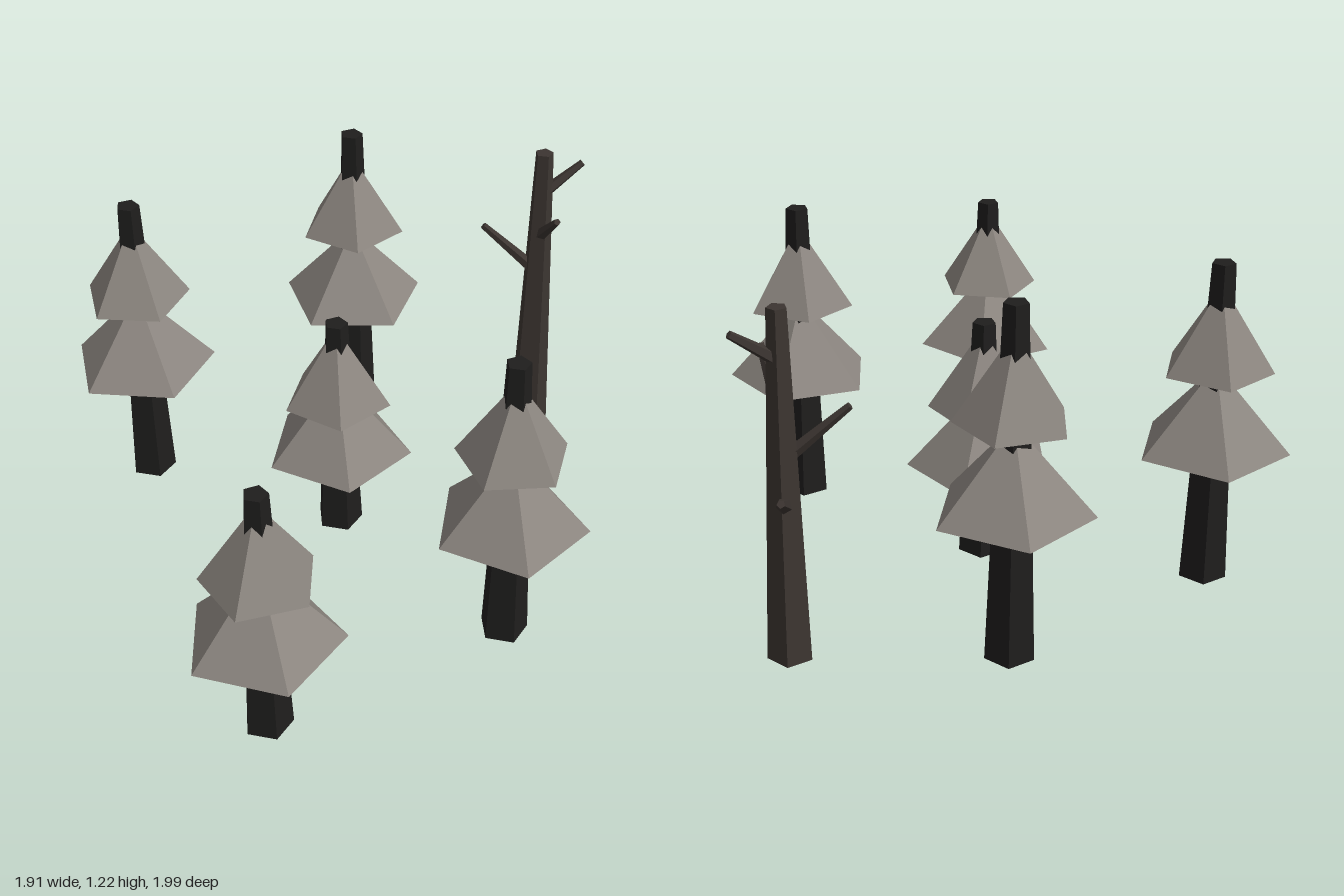
import * as THREE from 'three';

const SIDES = 5;
const material = (color) => new THREE.MeshStandardMaterial({ color, flatShading: true });
const foliageMat = material(0x8c8680);
const trunkMat = material(0x1f1e1d);
const deadMat = material(0x3c3531);

// Upright tapered piece standing on height y; turn in degrees
function taper(name, rTop, rBottom, height, y, turn, mat) {
  const mesh = new THREE.Mesh(new THREE.CylinderGeometry(rTop, rBottom, height, SIDES), mat);
  mesh.name = name;
  mesh.position.y = y + height / 2;
  mesh.rotation.y = THREE.MathUtils.degToRad(turn);
  return mesh;
}

// Fir: a trunk running through two stacked foliage cones
function fir({ x, z, height, low, high, lowTurn, highTurn }) {
  const tree = new THREE.Group();
  tree.name = 'firTree';
  tree.position.set(x, 0, z);
  tree.add(
    taper('trunk', 0.041, 0.084, height, 0, 0, trunkMat),
    taper('lowerFoliage', 0, 0.265, 0.3, low, lowTurn, foliageMat),
    taper('upperFoliage', 0, 0.192, 0.3, high, highTurn, foliageMat),
  );
  return tree;
}

// Branch: thin tapered rod from the trunk axis out to its tip
function branch(baseY, tip, rBase) {
  const base = new THREE.Vector3(0, baseY, 0);
  const dir = new THREE.Vector3(...tip).sub(base);
  const mesh = new THREE.Mesh(new THREE.CylinderGeometry(0.013, rBase, dir.length(), SIDES), deadMat);
  mesh.name = 'branch';
  mesh.position.copy(base).addScaledVector(dir, 0.5);
  mesh.quaternion.setFromUnitVectors(new THREE.Vector3(0, 1, 0), dir.normalize());
  return mesh;
}

// Bare tree with four branches
function bareTree() {
  const tree = new THREE.Group();
  tree.name = 'bareTree';
  tree.position.set(0.797, 0, -0.379);
  tree.add(
    taper('bareTrunk', 0.033, 0.076, 1.2, 0, 0, deadMat),
    branch(0.54, [0.135, 0.695, -0.245], 0.028),
    branch(0.7, [-0.178, 0.88, -0.108], 0.025),
    branch(0.855, [-0.027, 1.015, 0.173], 0.025),
    branch(1.03, [0.15, 1.138, 0.018], 0.024),
  );
  return tree;
}

export function createModel() {
  const model = new THREE.Group();
  model.name = 'forest';
  const firs = [
    { x: -0.66, z: -0.686, height: 1.15, low: 0.487, high: 0.775, lowTurn: 8, highTurn: 9 },
    { x: 0.204, z: -0.754, height: 1.215, low: 0.52, high: 0.825, lowTurn: 13, highTurn: -16 },
    { x: -0.114, z: -0.12, height: 0.87, low: 0.333, high: 0.55, lowTurn: -13, highTurn: -18 },
    { x: -0.702, z: 0.728, height: 0.965, low: 0.382, high: 0.625, lowTurn: -3, highTurn: 30 },
    { x: 0.19, z: 0.636, height: 1.12, low: 0.47, high: 0.75, lowTurn: -13, highTurn: 17 },
  ];
  firs.forEach((spec) => model.add(fir(spec)));
  model.add(bareTree());
  return model;
}
